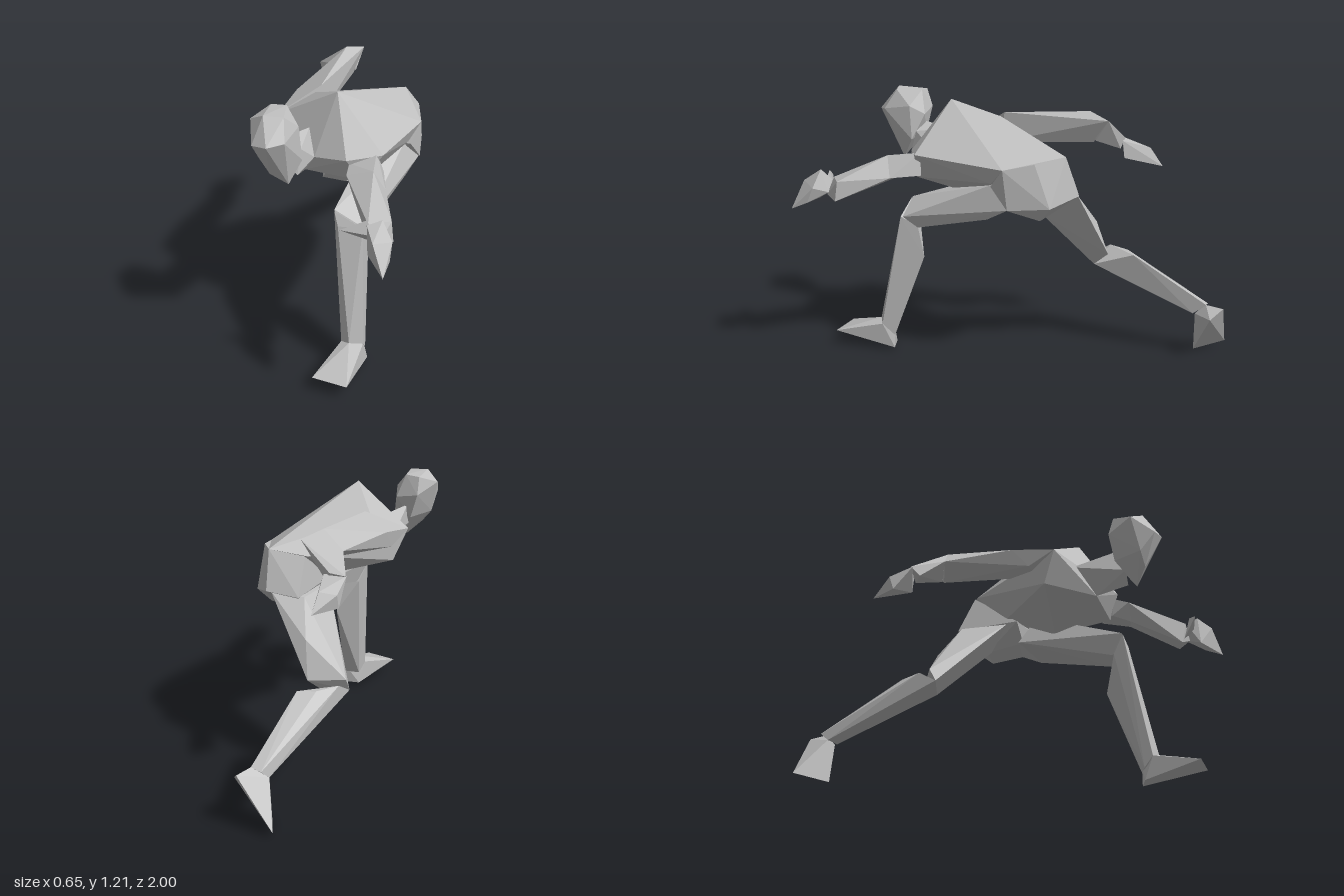
import * as THREE from 'three';
import { ConvexGeometry } from 'three/addons/geometries/ConvexGeometry.js';

const grey = new THREE.MeshStandardMaterial({ color: 0xc0c0c0, flatShading: true });
grey.name = 'plain grey';

// Faceted body part: the hull around a few corner points
function part(parent, name, ...points) {
  const corners = points.map((p) => new THREE.Vector3(...p));
  const mesh = new THREE.Mesh(new ConvexGeometry(corners), grey);
  mesh.name = name;
  parent.add(mesh);
}

function section(parent, name) {
  const group = new THREE.Group();
  group.name = name;
  parent.add(group);
  return group;
}

export function createModel() {
  const model = new THREE.Group();
  model.name = 'crouching runner';

  // Trunk, bent forward with a high upper back
  const trunk = section(model, 'trunk');
  part(trunk, 'chest',
    [-0.01, 1.205, 0.31], [0.21, 0.985, 0.44], [0.32, 0.955, 0.02], [0.21, 1.0, -0.25],
    [-0.30, 1.03, 0.20], [-0.245, 0.882, 0.15], [-0.14, 0.86, 0.39], [-0.09, 0.945, 0.43],
    [0.06, 0.97, 0.49], [0.12, 0.86, 0.45], [0.08, 0.775, 0.18], [0.27, 0.88, 0.08],
    [0.04, 0.97, -0.2], [0.02, 0.84, -0.05], [-0.15, 1.10, 0.10]);
  part(trunk, 'pelvis',
    [0.21, 1.0, -0.25], [0.05, 0.97, -0.21], [0.29, 0.98, -0.12], [0.32, 0.955, 0.02],
    [0.30, 0.78, -0.19], [0.2, 0.82, -0.31], [0.05, 0.8, -0.29], [0.1, 0.7, -0.15],
    [0.25, 0.71, -0.14], [0.315, 0.77, 0.0], [0.28, 0.87, 0.08], [0.13, 0.76, 0.02],
    [0.01, 0.82, 0.0]);

  // Head and neck
  const head = section(model, 'head and neck');
  part(head, 'head',
    [-0.26, 1.215, 0.62], [-0.175, 1.21, 0.61], [-0.26, 1.205, 0.48], [-0.19, 1.21, 0.49],
    [-0.33, 1.17, 0.56], [-0.13, 1.14, 0.54], [-0.30, 1.10, 0.67], [-0.16, 1.12, 0.67],
    [-0.23, 1.11, 0.705], [-0.29, 1.01, 0.60], [-0.24, 0.95, 0.62], [-0.17, 0.885, 0.58],
    [-0.12, 0.98, 0.53], [-0.15, 1.10, 0.47], [-0.26, 1.12, 0.455], [-0.22, 1.0, 0.48]);
  part(head, 'neck',
    [-0.20, 1.06, 0.49], [-0.13, 1.02, 0.51], [-0.20, 0.96, 0.53], [-0.14, 0.91, 0.54],
    [-0.09, 0.945, 0.43], [-0.14, 0.86, 0.39], [-0.13, 1.04, 0.34], [-0.21, 0.98, 0.28]);

  // Left arm reaching forward
  const leftArm = section(model, 'left arm');
  part(leftArm, 'left upper arm',
    [0.18, 0.99, 0.42], [0.07, 0.95, 0.47], [0.21, 0.89, 0.41], [0.09, 0.87, 0.46],
    [0.19, 0.975, 0.57], [0.07, 0.93, 0.54], [0.24, 0.88, 0.55], [0.13, 0.855, 0.55]);
  part(leftArm, 'left forearm',
    [0.19, 0.975, 0.57], [0.07, 0.93, 0.54], [0.24, 0.88, 0.55], [0.13, 0.855, 0.55],
    [0.21, 0.87, 0.82], [0.30, 0.87, 0.78], [0.21, 0.77, 0.80], [0.31, 0.78, 0.79],
    [0.26, 0.80, 0.84]);
  part(leftArm, 'left hand',
    [0.215, 0.86, 0.83], [0.30, 0.82, 0.82], [0.215, 0.90, 0.88], [0.275, 0.92, 0.86],
    [0.32, 0.84, 0.89], [0.315, 0.77, 0.92], [0.30, 0.735, 1.0], [0.22, 0.77, 0.89],
    [0.25, 0.86, 0.95]);
  part(leftArm, 'left thumb',
    [0.10, 0.855, 0.86], [0.21, 0.90, 0.84], [0.21, 0.79, 0.81], [0.24, 0.84, 0.86]);

  // Right arm swung back, forearm folded across
  const rightArm = section(model, 'right arm');
  part(rightArm, 'right upper arm',
    [-0.30, 1.03, 0.20], [-0.13, 1.125, 0.08], [-0.26, 0.97, 0.08], [-0.13, 0.98, 0.10],
    [-0.26, 1.06, 0.0], [-0.09, 1.15, -0.33], [-0.02, 1.12, -0.42], [-0.18, 1.06, -0.33],
    [-0.06, 1.01, -0.35]);
  part(rightArm, 'right forearm',
    [-0.09, 1.15, -0.33], [-0.02, 1.12, -0.42], [-0.18, 1.06, -0.33], [-0.05, 1.02, -0.36],
    [-0.25, 1.0, -0.48], [-0.18, 1.01, -0.49], [-0.23, 0.96, -0.44], [-0.16, 0.96, -0.47]);
  part(rightArm, 'right hand',
    [-0.25, 1.0, -0.47], [-0.15, 1.0, -0.48], [-0.25, 0.95, -0.58], [-0.18, 0.965, -0.61],
    [-0.17, 0.88, -0.67], [-0.25, 0.885, -0.56], [-0.14, 0.92, -0.49]);

  // Left leg planted in front
  const leftLeg = section(model, 'left leg');
  part(leftLeg, 'left thigh',
    [0.10, 0.88, 0.09], [0.25, 0.87, 0.08], [0.31, 0.77, 0.0], [0.26, 0.71, 0.10],
    [0.10, 0.75, 0.0], [0.01, 0.735, 0.50], [0.03, 0.67, 0.53], [0.14, 0.67, 0.52],
    [0.14, 0.62, 0.45], [0.05, 0.64, 0.45]);
  part(leftLeg, 'left shin',
    [0.01, 0.73, 0.505], [0.03, 0.67, 0.53], [0.14, 0.67, 0.53], [0.14, 0.63, 0.45],
    [0.04, 0.64, 0.46], [0.145, 0.48, 0.42], [0.06, 0.13, 0.62], [0.10, 0.145, 0.65],
    [0.16, 0.135, 0.63], [0.08, 0.08, 0.58], [0.16, 0.08, 0.57]);
  part(leftLeg, 'left foot',
    [0.06, 0.13, 0.62], [0.10, 0.145, 0.65], [0.16, 0.135, 0.63], [0.08, 0.02, 0.58],
    [0.17, 0.02, 0.57], [0.15, 0.11, 0.57], [-0.03, 0.075, 0.83], [0.13, 0.075, 0.87]);

  // Right leg trailing, knee turned inward
  const rightLeg = section(model, 'right leg');
  part(rightLeg, 'right thigh',
    [0.0, 0.80, -0.05], [0.18, 0.82, -0.30], [0.03, 0.80, -0.27], [0.10, 0.70, -0.13],
    [-0.02, 0.64, -0.375], [0.03, 0.60, -0.31], [-0.22, 0.42, -0.35], [-0.215, 0.48, -0.38],
    [-0.10, 0.40, -0.36], [-0.05, 0.47, -0.43]);
  part(rightLeg, 'right shin',
    [-0.22, 0.42, -0.35], [-0.20, 0.47, -0.43], [-0.10, 0.40, -0.36], [-0.05, 0.47, -0.55],
    [-0.13, 0.47, -0.52], [-0.06, 0.21, -0.87], [0.0, 0.21, -0.84], [0.01, 0.26, -0.90],
    [-0.04, 0.25, -0.91]);
  part(rightLeg, 'right foot',
    [-0.06, 0.21, -0.87], [0.0, 0.21, -0.85], [0.01, 0.26, -0.90], [0.08, 0.21, -0.92],
    [0.04, 0.255, -0.98], [-0.13, 0.03, -1.0], [-0.06, 0.005, -0.85]);

  return model;
}
